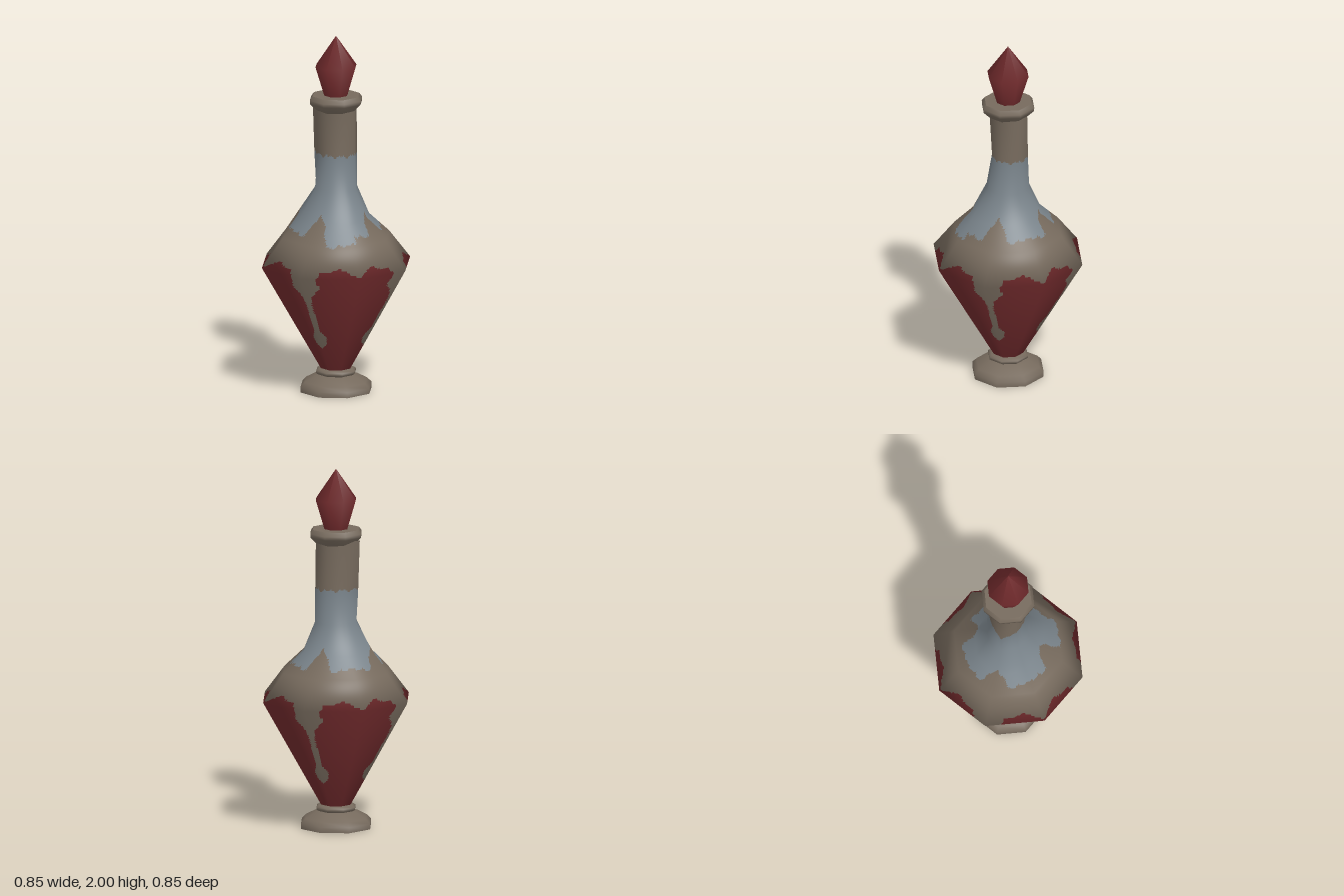
import * as THREE from 'three';

const SIDES = 8;
const SUB = 20; // fine columns per side, so that the painted edges stay crisp

const material = (name, color, side = THREE.FrontSide) => {
  const m = new THREE.MeshStandardMaterial({ color, side });
  m.name = name;
  return m;
};

const vec = (pairs) => pairs.map(([r, y]) => new THREE.Vector2(r, y));

// piecewise linear lookup in a short list of [x, value]
function lookup(table, x) {
  for (let i = 1; i < table.length; i++) {
    const [x0, v0] = table[i - 1], [x1, v1] = table[i];
    if (x <= x1) return v0 + (v1 - v0) * Math.max(0, (x - x0) / (x1 - x0));
  }
  return table[table.length - 1][1];
}

// rings of the bottle: height, then one radius or eight (from +z round by +x)
const RINGS = [
  [0.125, 0.085],
  [0.72, 0.427],
  [0.875, 0.308],
  [0.985, [0.2, 0.225, 0.19, 0.19, 0.19, 0.195, 0.232, 0.2]],
  [1.145, 0.122],
  [1.325, [0.092, 0.095, 0.113, 0.122, 0.115, 0.098, 0.133, 0.1]],
  [1.61, [0.108, 0.11, 0.112, 0.118, 0.11, 0.115, 0.143, 0.115]],
];

// painted edges, by degrees away from the nearest of the four main corners
const RED_TOP = [[0, 0.58], [5, 0.61], [8, 0.64], [10, 0.7], [12, 0.73], [14, 0.752], [24, 0.755], [30, 0.772], [37, 0.755], [45, 0.725]];
const BLUE_LOW = [[0, 1.03], [6, 0.99], [12, 0.97], [17, 0.915], [24, 0.905], [30, 0.925], [36, 0.915], [45, 0.935]];
const STRIPE = [[0.27, 0], [0.3, 0.034], [0.34, 0.04], [0.38, 0.018], [0.56, 0.017], [0.6, 0.03], [0.63, 0.055], [0.66, 0.085], [0.7, 0.07], [0.73, 0.075]];

function paintAt(p) {
  const deg = (THREE.MathUtils.radToDeg(Math.atan2(p.x, p.z)) + 360) % 360;
  const away = Math.abs(((deg + 45) % 90) - 45);
  const off = Math.hypot(p.x, p.z) * Math.sin(THREE.MathUtils.degToRad(away));
  if (p.y < 0.8) {
    const inStripe = p.y > 0.27 && off < lookup(STRIPE, p.y);
    return !inStripe && p.y < lookup(RED_TOP, away) ? 'red' : 'brown';
  }
  // the glaze runs lower on one front shoulder
  const run = deg > 12 && deg < 50 ? 0.04 : 0;
  const low = lookup(BLUE_LOW, away) - run;
  return p.y > low && p.y < 1.335 + 0.008 * Math.sin(away * 0.2) ? 'blue' : 'brown';
}

// coarse eight-sided shell with smooth normals
function coarseShell() {
  const pos = [], index = [];
  for (const [y, radius] of RINGS) {
    for (let j = 0; j < SIDES; j++) {
      const r = Array.isArray(radius) ? radius[j] : radius;
      const a = (j / SIDES) * Math.PI * 2;
      pos.push(r * Math.sin(a), y, r * Math.cos(a));
    }
  }
  for (let i = 0; i < RINGS.length - 1; i++) {
    for (let j = 0; j < SIDES; j++) {
      const k = (j + 1) % SIDES;
      const a = i * SIDES + j, b = i * SIDES + k;
      index.push(a, b, b + SIDES, a, b + SIDES, a + SIDES);
    }
  }
  const g = new THREE.BufferGeometry();
  g.setAttribute('position', new THREE.Float32BufferAttribute(pos, 3));
  g.setIndex(index);
  g.computeVertexNormals();
  return g;
}

// divide the shell finely and sort its faces by paint colour
function paintedBody(materials) {
  const coarse = coarseShell();
  const sample = (attr, i, t, j, s) => {
    const at = (ii, jj) => new THREE.Vector3().fromBufferAttribute(attr, ii * SIDES + (jj % SIDES));
    const low = at(i, j).lerp(at(i, j + 1), s);
    return low.lerp(at(i + 1, j).lerp(at(i + 1, j + 1), s), t);
  };
  const points = [], normals = [];
  const cols = SIDES * SUB;
  let rows = 0;
  const addRow = (i, t) => {
    for (let c = 0; c <= cols; c++) {
      const j = Math.min(Math.floor(c / SUB), SIDES - 1), s = c / SUB - j;
      points.push(sample(coarse.attributes.position, i, t, j, s));
      normals.push(sample(coarse.attributes.normal, i, t, j, s).normalize());
    }
    rows++;
  };
  for (let i = 0; i < RINGS.length - 1; i++) {
    const steps = Math.ceil((RINGS[i + 1][0] - RINGS[i][0]) / 0.011);
    for (let k = 0; k < steps; k++) addRow(i, k / steps);
  }
  addRow(RINGS.length - 2, 1);

  const faces = { brown: [], red: [], blue: [] };
  const mid = new THREE.Vector3();
  const face = (a, b, c) => {
    mid.copy(points[a]).add(points[b]).add(points[c]).divideScalar(3);
    faces[paintAt(mid)].push(a, b, c);
  };
  for (let r = 0; r < rows - 1; r++) {
    for (let c = 0; c < cols; c++) {
      const a = r * (cols + 1) + c, d = a + cols + 1;
      face(a, a + 1, d + 1);
      face(a, d + 1, d);
    }
  }
  const position = new THREE.Float32BufferAttribute(points.flatMap((p) => p.toArray()), 3);
  const normal = new THREE.Float32BufferAttribute(normals.flatMap((n) => n.toArray()), 3);
  const names = { brown: 'bottleBody', red: 'redPanels', blue: 'blueShoulderGlaze' };
  const group = new THREE.Group();
  group.name = 'bottle';
  for (const key of Object.keys(faces)) {
    const g = new THREE.BufferGeometry();
    g.setAttribute('position', position);
    g.setAttribute('normal', normal);
    g.setIndex(faces[key]);
    const mesh = new THREE.Mesh(g, materials[key]);
    mesh.name = names[key];
    group.add(mesh);
  }
  return group;
}

export function createModel() {
  const materials = {
    brown: material('brownClay', 0x766a5d),
    red: material('deepRed', 0x6e292b),
    blue: material('greyBlue', 0x7a848b),
  };
  const model = new THREE.Group();
  model.name = 'stopperedBottle';
  model.add(paintedBody(materials));

  const turned = (name, profile, mat) => {
    const mesh = new THREE.Mesh(new THREE.LatheGeometry(vec(profile), SIDES), mat);
    mesh.name = name;
    model.add(mesh);
  };
  // underside, foot and collar
  turned('footUnderside', [[0, 0.012], [0.205, 0]], materials.brown);
  turned('foot', [[0.205, 0], [0.205, 0.03], [0.18, 0.055], [0.125, 0.085], [0.1, 0.094]], materials.brown);
  turned('collar', [[0.1, 0.092], [0.114, 0.102], [0.114, 0.115], [0.1, 0.125], [0.08, 0.13]], materials.brown);
  // lip of the neck
  turned('lip', [[0.1, 1.575], [0.15, 1.625], [0.151, 1.645], [0.135, 1.667]], materials.brown);
  turned('lipTop', [[0.135, 1.667], [0.05, 1.667]], materials.brown);
  // pointed stopper
  turned('stopper', [[0.064, 1.655], [0.118, 1.83], [0, 2]], materials.red);
  return model;
}
